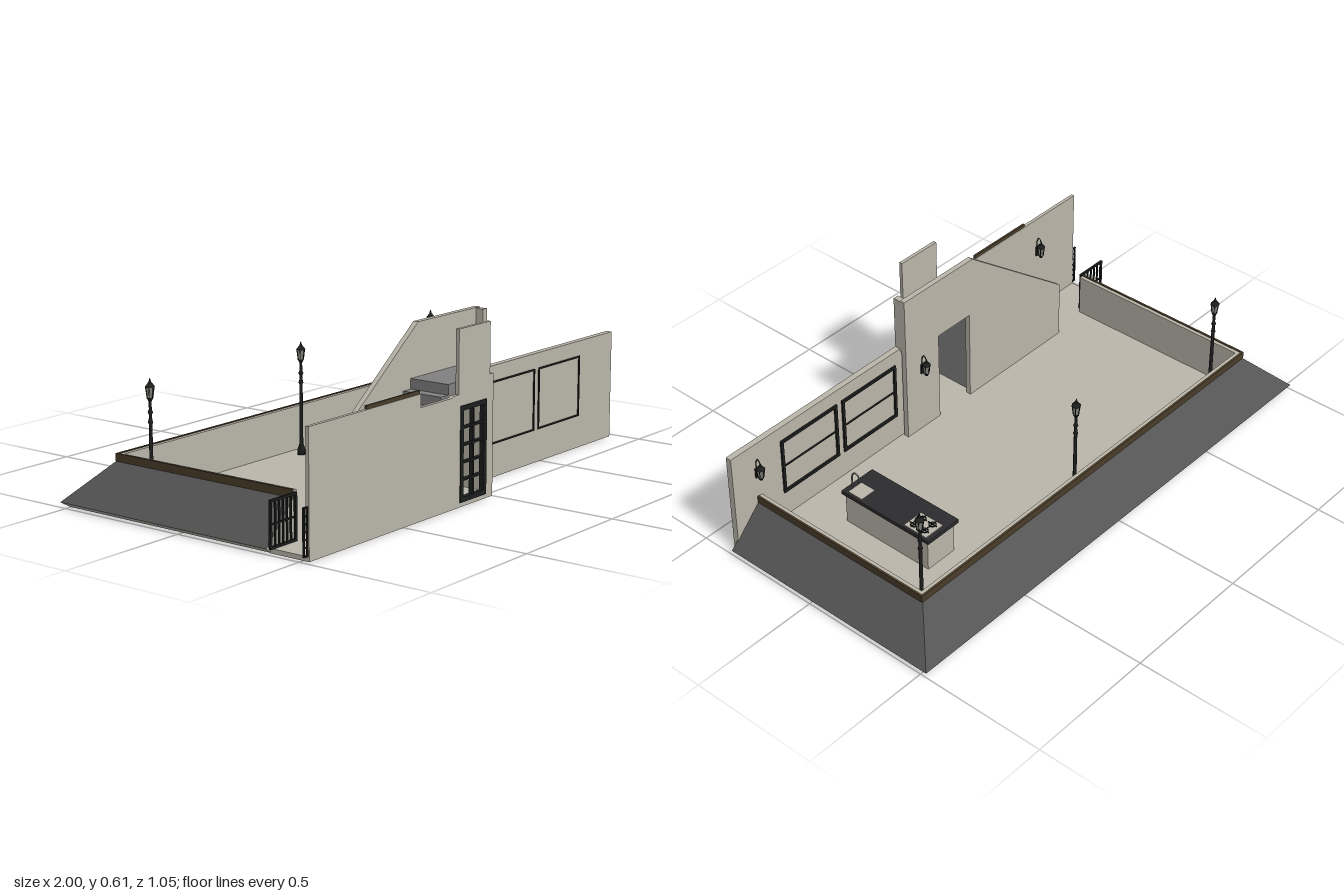
import * as THREE from 'three';

const mat = (name, color, side = THREE.FrontSide) => {
  const m = new THREE.MeshStandardMaterial({ color, side });
  m.name = name;
  return m;
};

export function createModel() {
  const root = new THREE.Group();
  root.name = 'roofTerrace';
  const plaster = mat('plaster', 0xbab6aa, THREE.DoubleSide);
  const slate = mat('slate', 0x555556, THREE.DoubleSide);
  const stone = mat('stairGrey', 0x808080);
  const metal = mat('blackMetal', 0x1c1d1d);
  const worktop = mat('worktop', 0x2c2c2e);
  const timber = mat('timber', 0x4a3d2a);
  const chrome = mat('chrome', 0x77797a);
  const lampGlass = mat('lampGlass', 0x8d8c84);

  const add = (name, geo, m, parent = root) => {
    const o = new THREE.Mesh(geo, m);
    o.name = name;
    parent.add(o);
    return o;
  };
  const group = (name, x = 0, y = 0, z = 0) => {
    const g = new THREE.Group();
    g.name = name;
    g.position.set(x, y, z);
    root.add(g);
    return g;
  };
  // box given by its min and max on each axis
  const box = (name, m, x0, x1, y0, y1, z0, z1, parent = root) => {
    const o = add(name, new THREE.BoxGeometry(x1 - x0, y1 - y0, z1 - z0), m, parent);
    o.position.set((x0 + x1) / 2, (y0 + y1) / 2, (z0 + z1) / 2);
    return o;
  };
  // upright plate with outline in x,y, from z0 to z1
  const plate = (name, m, pts, z0, z1, holes = []) => {
    const shape = new THREE.Shape(pts.map(p => new THREE.Vector2(...p)));
    for (const [a, b, c, d] of holes) {
      shape.holes.push(new THREE.Path([[a, c], [a, d], [b, d], [b, c]].map(p => new THREE.Vector2(...p))));
    }
    const o = add(name, new THREE.ExtrudeGeometry(shape, { depth: z1 - z0, bevelEnabled: false }), m);
    o.position.z = z0;
    return o;
  };
  // surface from corner loops
  const faces = (name, m, polys) => {
    const pos = [];
    for (const p of polys) for (let i = 1; i < p.length - 1; i++) pos.push(...p[0], ...p[i], ...p[i + 1]);
    const g = new THREE.BufferGeometry();
    g.setAttribute('position', new THREE.Float32BufferAttribute(pos, 3));
    g.computeVertexNormals();
    return add(name, g, m);
  };
  // rectangular frame with glazing bars
  const frame = (name, x0, x1, y0, y1, z0, z1, w, cols, rows, bar) => {
    const g = group(name);
    box('stile', metal, x0, x0 + w, y0, y1, z0, z1, g);
    box('stile', metal, x1 - w, x1, y0, y1, z0, z1, g);
    box('rail', metal, x0, x1, y0, y0 + w, z0, z1, g);
    box('rail', metal, x0, x1, y1 - w, y1, z0, z1, g);
    for (let i = 1; i < cols; i++) {
      const x = x0 + w + (x1 - x0 - 2 * w) * i / cols;
      box('bar', metal, x - bar / 2, x + bar / 2, y0 + w, y1 - w, z0 + 0.001, z1 - 0.001, g);
    }
    for (let i = 1; i < rows; i++) {
      const y = y0 + w + (y1 - y0 - 2 * w) * i / rows;
      box('bar', metal, x0 + w, x1 - w, y - bar / 2, y + bar / 2, z0 + 0.001, z1 - 0.001, g);
    }
    return g;
  };

  // floor slab
  box('floor', plaster, -0.975, 0.975, 0, 0.016, -0.505, 0.367);
  box('frontFloor', plaster, -0.98, 0, 0, 0.016, 0.367, 0.512);

  // sloping roof skirt on three sides, with a soffit lip below
  const ring = (x, z, y, zf) => [[-x, y, zf], [-x, y, z], [x, y, z], [x, y, zf]];
  const top = ring(0.865, -0.39, 0.155, 0.37), eave = ring(1, -0.525, 0.018, 0.37), lip = ring(0.975, -0.505, 0, 0.37);
  const slopes = [], lips = [];
  for (let i = 0; i < 3; i++) {
    slopes.push([eave[i], top[i], top[i + 1], eave[i + 1]]);
    lips.push([eave[i], eave[i + 1], lip[i + 1], lip[i]]);
  }
  faces('roofSkirt', slate, slopes);
  faces('eaveLip', plaster, lips);
  faces('skirtEnds', plaster, [-1, 1].map(s =>
    [[s, 0.018, 0.37], [s * 0.865, 0.155, 0.37], [s * 0.865, 0, 0.37], [s * 0.975, 0, 0.37]]));

  // parapet with timber fascia
  for (const s of [-1, 1]) {
    const a = s * 0.848, b = s * 0.862, c = s * 0.87;
    box('sideParapet', plaster, Math.min(a, b), Math.max(a, b), 0.01, 0.177, -0.385, 0.367);
    box('sideFascia', timber, Math.min(b, c), Math.max(b, c), 0.153, 0.18, -0.393, 0.367);
  }
  box('backParapet', plaster, -0.862, 0.862, 0.01, 0.177, -0.385, -0.371);
  box('backFascia', timber, -0.87, 0.87, 0.153, 0.18, -0.393, -0.385);

  // front walls
  const doorHole = [-0.19, -0.04, 0.015, 0.345];
  plate('entranceWall', plaster, [[-0.98, 0], [0, 0], [0, 0.425], [-0.02, 0.425], [-0.02, 0.605], [-0.2, 0.605],
    [-0.2, 0.385], [-0.23, 0.385], [-0.24, 0.38], [-0.41, 0.38], [-0.41, 0.425], [-0.98, 0.425]], 0.512, 0.525, [doorHole]);
  box('wallCap', timber, -0.69, -0.41, 0.425, 0.437, 0.514, 0.522);
  box('vestibuleSide', plaster, -0.014, 0.002, 0, 0.4, 0.365, 0.513);
  box('windowWall', plaster, 0, 0.972, 0, 0.4, 0.365, 0.388);
  frame('door', -0.19, -0.04, 0.015, 0.345, 0.51, 0.528, 0.017, 2, 5, 0.007);

  // windows, framed on both faces
  for (const x of [0.185, 0.48]) {
    frame('windowOuter', x, x + 0.27, 0.12, 0.345, 0.386, 0.392, 0.006, 1, 1, 0);
    frame('windowInner', x, x + 0.27, 0.12, 0.345, 0.358, 0.366, 0.011, 1, 2, 0.003);
  }

  // stair wall with passage, and its return at the end
  plate('stairWall', plaster, [[-0.69, 0], [-0.18, 0], [-0.18, 0.375], [-0.015, 0.375], [-0.015, 0], [0.155, 0],
    [0.155, 0.61], [-0.2, 0.61], [-0.69, 0.24]], 0.338, 0.358);
  box('stairWallReturn', plaster, 0.132, 0.155, 0.39, 0.607, 0.357, 0.388);

  // stairs and landing
  const n = 12, run = 0.49 / n, rise = 0.425 / n;
  const steps = [[-0.2, 0.012], [-0.2, 0.425]];
  for (let i = n - 1; i >= 0; i--) {
    steps.push([-0.69 + i * run, (i + 1) * rise], [-0.69 + i * run, Math.max(i * rise, 0.012)]);
  }
  plate('stairs', stone, steps, 0.358, 0.512);
  box('landing', stone, -0.2, 0, 0.4, 0.425, 0.358, 0.512);
  box('landingEnd', stone, 0, 0.132, 0.4, 0.425, 0.358, 0.386);

  // lantern: cage, glass and cap
  const lantern = (parent, y, s) => {
    const part = (name, r1, r2, h, yy, m) => {
      add(name, new THREE.CylinderGeometry(r1 * s, r2 * s, h * s, 6), m, parent).position.y = y + yy * s;
    };
    part('lanternBase', 0.012, 0.006, 0.012, 0.006, metal);
    part('lanternGlass', 0.015, 0.01, 0.038, 0.03, lampGlass);
    part('lanternCap', 0.007, 0.018, 0.014, 0.055, metal);
    part('lanternFinial', 0.001, 0.006, 0.016, 0.069, metal);
    for (let i = 0; i < 6; i++) {
      const a = i * Math.PI / 3;
      const b = add('cageBar', new THREE.CylinderGeometry(0.0018 * s, 0.0018 * s, 0.04 * s, 4), metal, parent);
      b.position.set(Math.sin(a) * 0.0128 * s, y + 0.03 * s, Math.cos(a) * 0.0128 * s);
      b.rotation.set(Math.cos(a) * 0.13, 0, -Math.sin(a) * 0.13);
    }
  };

  // lamp posts along the back
  const post = [[0, 0], [0.014, 0], [0.014, 0.02], [0.007, 0.04], [0.006, 0.26], [0.009, 0.265], [0.006, 0.275],
    [0.005, 0.29], [0.009, 0.3], [0.005, 0.31], [0.005, 0.342], [0, 0.342]].map(p => new THREE.Vector2(...p));
  for (const x of [-0.785, 0, 0.785]) {
    const g = group('lampPost', x, 0.016, -0.31);
    add('post', new THREE.LatheGeometry(post, 10), metal, g);
    lantern(g, 0.338, 1);
  }

  // wall lamps on curved brackets
  for (const [x, z] of [[0.865, 0.365], [0.075, 0.338], [-0.76, 0.512]]) {
    const g = group('wallLamp', x, 0.262, z - 0.022);
    lantern(g, 0, 0.95);
    box('backPlate', metal, -0.007, 0.007, 0, 0.04, 0.017, 0.022, g);
    const arm = new THREE.CatmullRomCurve3([[0.018, 0.02], [0.02, 0.065], [0.01, 0.082], [0, 0.068]]
      .map(([zz, y]) => new THREE.Vector3(0, y, zz)));
    add('bracket', new THREE.TubeGeometry(arm, 12, 0.002, 5), metal, g);
  }

  // kitchen island with hob, sink and tap
  box('islandBase', plaster, 0.5, 0.63, 0.014, 0.138, -0.195, 0.185);
  box('islandTop', worktop, 0.488, 0.64, 0.138, 0.152, -0.207, 0.195);
  box('hob', plaster, 0.548, 0.632, 0.152, 0.156, -0.19, -0.09);
  for (const x of [0.57, 0.61]) {
    for (const z of [-0.163, -0.117]) {
      const burner = add('burner', new THREE.TorusGeometry(0.012, 0.002, 5, 14), metal);
      burner.position.set(x, 0.158, z);
      burner.rotation.x = Math.PI / 2;
      box('grate', metal, x - 0.018, x + 0.018, 0.158, 0.161, z - 0.0015, z + 0.0015);
      box('grate', metal, x - 0.0015, x + 0.0015, 0.158, 0.161, z - 0.02, z + 0.02);
    }
  }
  box('sink', plaster, 0.567, 0.63, 0.152, 0.155, 0.108, 0.17);
  const tap = new THREE.CatmullRomCurve3([[0.15, 0.18], [0.2, 0.18], [0.218, 0.17], [0.218, 0.155], [0.205, 0.146], [0.19, 0.146]]
    .map(([y, z]) => new THREE.Vector3(0.6, y, z)));
  add('tap', new THREE.TubeGeometry(tap, 20, 0.003, 6), chrome);

  // side gates
  frame('innerGate', -0.995, -0.865, 0.016, 0.175, 0.376, 0.384, 0.008, 6, 2, 0.005);
  frame('outerGate', -1, -0.978, 0.016, 0.175, 0.514, 0.521, 0.005, 1, 6, 0.003);

  return root;
}
